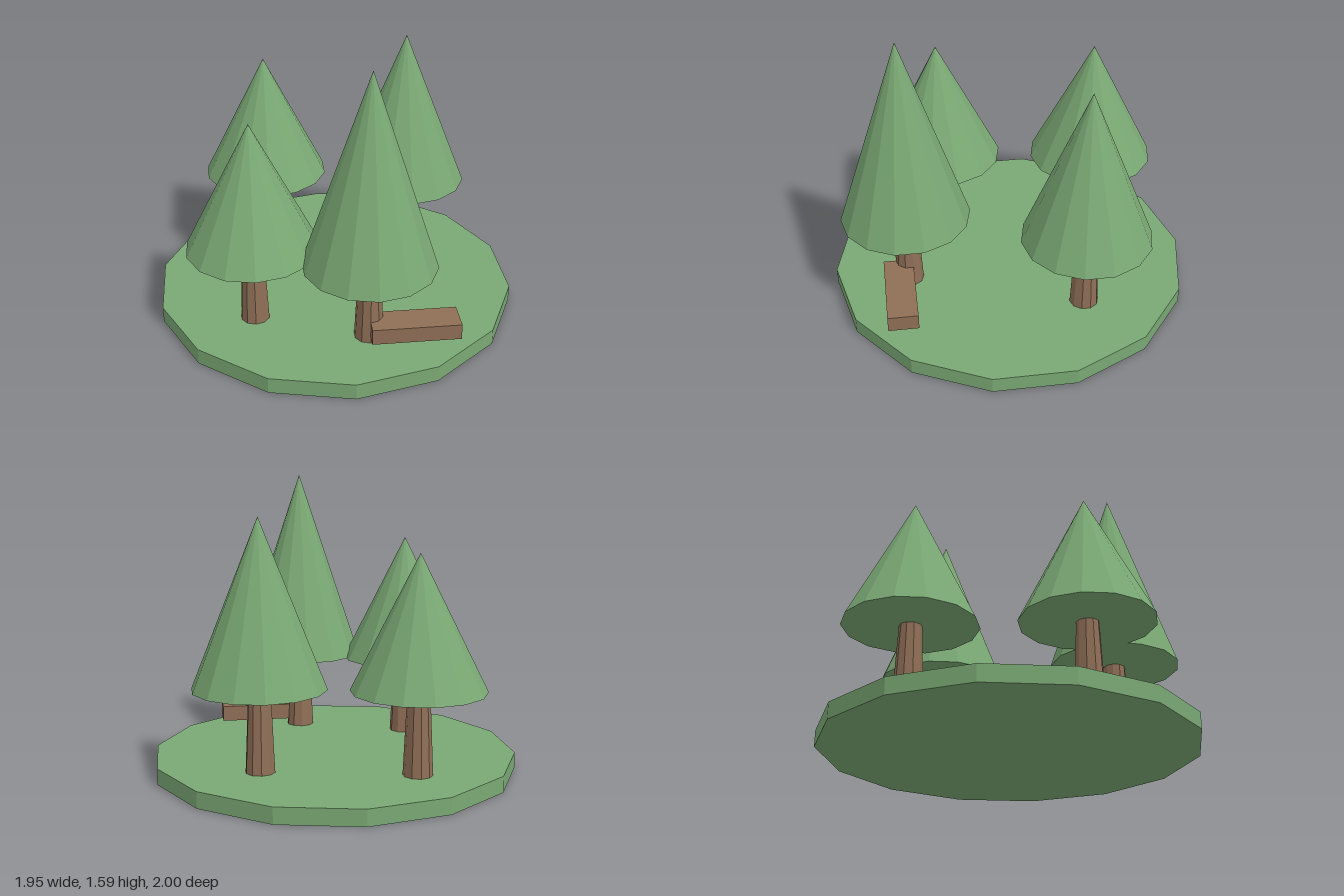
import * as THREE from 'three';

export function createModel() {
  const model = new THREE.Group();
  model.name = 'treeGrove';

  const green = new THREE.MeshStandardMaterial({ color: 0x7aa874, flatShading: true });
  green.name = 'leaf green';
  const brown = new THREE.MeshStandardMaterial({ color: 0x8f6f57, flatShading: true });
  brown.name = 'wood brown';

  const add = (parent, name, geometry, material, x, y, z) => {
    const mesh = new THREE.Mesh(geometry, material);
    mesh.name = name;
    mesh.position.set(x, y, z);
    parent.add(mesh);
  };

  // Ground disc
  const groundTop = 0.088;
  add(model, 'ground', new THREE.CylinderGeometry(1, 1, groundTop, 14), green, 0, groundTop / 2, 0);

  // Trees: a tapered trunk under one cone; all crowns start at the same height
  const crownBase = 0.53;
  const trunkHeight = crownBase - groundTop;
  const trees = [
    // x, z, crown height
    [-0.471, 0.353, 0.706],
    [0.118, 0.588, 1.059],
    [0.444, -0.353, 0.882],
    [-0.353, -0.529, 0.706],
  ];
  for (const [x, z, crownHeight] of trees) {
    const tree = new THREE.Group();
    tree.name = 'tree';
    tree.position.set(x, 0, z);
    add(tree, 'trunk', new THREE.CylinderGeometry(0.059, 0.079, trunkHeight, 10), brown,
      0, groundTop + trunkHeight / 2, 0);
    add(tree, 'crown', new THREE.ConeGeometry(0.353, crownHeight, 14), green,
      0, crownBase + crownHeight / 2, 0);
    model.add(tree);
  }

  // Bench plank beside the front tree
  add(model, 'bench', new THREE.BoxGeometry(0.47, 0.088, 0.165), brown, 0.352, 0.168, 0.647);

  return model;
}
